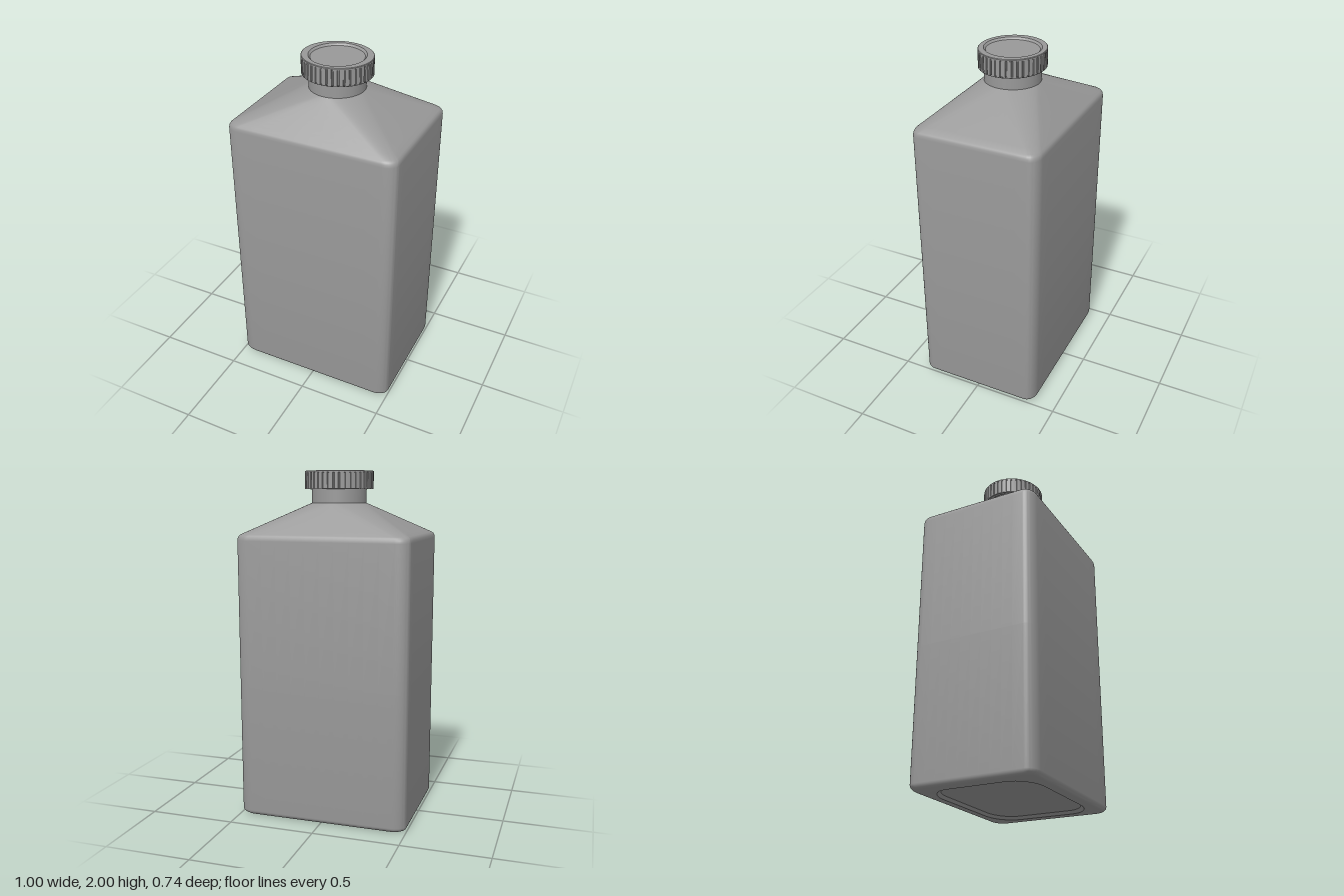
import * as THREE from 'three';
import { toCreasedNormals } from 'three/addons/utils/BufferGeometryUtils.js';

const material = new THREE.MeshStandardMaterial({ color: 0x999999, side: THREE.DoubleSide });
const NECK = 0.157;
const SIDE = 5, ARC = 12; // steps along half a side and round a corner

function addMesh(parent, name, geometry, crease = 0.6) {
  const mesh = new THREE.Mesh(toCreasedNormals(geometry, crease), material);
  mesh.name = name;
  parent.add(mesh);
}

// One closed cross-section: a rounded rectangle blended towards a circle (round = 1).
function section({ y, hx, hz, rx, rz, round = 0 }) {
  const quarter = [], flat = 0.2;
  for (let i = 0; i <= 2 * SIDE + ARC; i++) {
    let x, z, angle;
    if (i < SIDE) {
      const t = i / SIDE;
      [x, z, angle] = [hx, (hz - rz) * t, flat * t];
    } else if (i <= SIDE + ARC) {
      const t = (i - SIDE) / ARC, a = t * Math.PI / 2;
      [x, z] = [hx - rx + rx * Math.cos(a), hz - rz + rz * Math.sin(a)];
      angle = flat + t * (Math.PI / 2 - 2 * flat);
    } else {
      const t = (2 * SIDE + ARC - i) / SIDE;
      [x, z, angle] = [(hx - rx) * t, hz, Math.PI / 2 - flat * t];
    }
    quarter.push([
      THREE.MathUtils.lerp(x, NECK * Math.cos(angle), round),
      THREE.MathUtils.lerp(z, NECK * Math.sin(angle), round),
    ]);
  }
  // Mirror the quarter into a full loop, leaving out the shared end points
  const back = quarter.slice().reverse();
  return [
    ...quarter.slice(0, -1),
    ...back.slice(0, -1).map(([x, z]) => [-x, z]),
    ...quarter.slice(0, -1).map(([x, z]) => [-x, -z]),
    ...back.slice(0, -1).map(([x, z]) => [x, -z]),
  ].map(([x, z]) => [x, y, z]);
}

// Elliptical cross-section for the cap
function ellipse([rx, rz, y]) {
  return Array.from({ length: 80 }, (_, i) => {
    const a = i / 80 * Math.PI * 2;
    return [rx * Math.cos(a), y, rz * Math.sin(a)];
  });
}

// Skin over a stack of cross-sections
function loft(rings) {
  const n = rings[0].length, index = [];
  for (let r = 0; r < rings.length - 1; r++) {
    for (let i = 0; i < n; i++) {
      const a = r * n + i, b = r * n + (i + 1) % n;
      index.push(a, a + n, b, b, a + n, b + n);
    }
  }
  const geometry = new THREE.BufferGeometry();
  geometry.setAttribute('position', new THREE.Float32BufferAttribute(rings.flat(2), 3));
  geometry.setIndex(index);
  return geometry;
}

function bottleGeometry() {
  const wall = (y, inset = 0, round = 0) => section({
    y, hx: 0.498 - inset, hz: 0.369 - inset, rx: 0.075, rz: 0.055, round,
  });
  const recess = (y, s) => section({ y, hx: 0.41 * s, hz: 0.3 * s, rx: 0.18 * s, rz: 0.13 * s });
  const rings = [recess(0.018, 0.002), recess(0.018, 0.95), recess(0.002, 1)];
  // Rounded bottom edge
  for (let i = 0; i <= 6; i++) {
    const a = i / 6 * Math.PI / 2;
    rings.push(wall(0.002 + 0.03 * (1 - Math.cos(a)), 0.03 * (1 - Math.sin(a))));
  }
  // Walls and softly turned upper edge
  rings.push(wall(0.8), wall(1.615), wall(1.63, 0.002), wall(1.641, 0.007), wall(1.649, 0.016));
  // Straight shoulder running from rectangle to circle
  for (let i = 1; i <= 10; i++) {
    const t = i / 10;
    rings.push(wall(1.649 + 0.171 * t, 0.016, t));
  }
  // Neck
  rings.push(wall(1.828, 0, 1), wall(1.975, 0, 1));
  return loft(rings);
}

// Ribbed skirt: a gear outline with a round opening
function skirtGeometry() {
  const ribs = 40, shape = new THREE.Shape();
  for (let i = 0; i < ribs; i++) {
    [[0, 0.198], [0.66, 0.198], [0.74, 0.193], [0.92, 0.193]].forEach(([f, r], k) => {
      const a = (i + f) / ribs * Math.PI * 2;
      shape[i + k ? 'lineTo' : 'moveTo'](r * Math.cos(a), r * Math.sin(a));
    });
  }
  shape.closePath();
  shape.holes.push(new THREE.Path().absarc(0, 0, 0.178, 0, Math.PI * 2, true));
  const geometry = new THREE.ExtrudeGeometry(shape, { depth: 0.087, bevelEnabled: false, curveSegments: 40 });
  return geometry.rotateX(-Math.PI / 2).scale(1, 1, 0.935).translate(0, 1.904, 0);
}

export function createModel() {
  const model = new THREE.Group();
  model.name = 'bottle';
  addMesh(model, 'body', bottleGeometry());

  const cap = new THREE.Group();
  cap.name = 'cap';
  addMesh(cap, 'capRibs', skirtGeometry(), 0.3);
  // Thin band under the ribs
  addMesh(cap, 'capLowerRim', loft([
    [0.178, 0.166, 1.904], [0.178, 0.166, 1.897], [0.196, 0.183, 1.897],
    [0.198, 0.185, 1.899], [0.198, 0.185, 1.904],
  ].map(ellipse)));
  // Oval top plate with a shallow round sunken disc
  addMesh(cap, 'capTop', loft([
    [0.001, 0.001, 1.978], [0.178, 0.166, 1.978], [0.198, 0.185, 1.99], [0.198, 0.185, 1.997],
    [0.195, 0.182, 2], [0.157, 0.157, 2], [0.155, 0.155, 1.998], [0.146, 0.146, 1.989], [0.001, 0.001, 1.989],
  ].map(ellipse)), 0.5);
  model.add(cap);
  return model;
}
